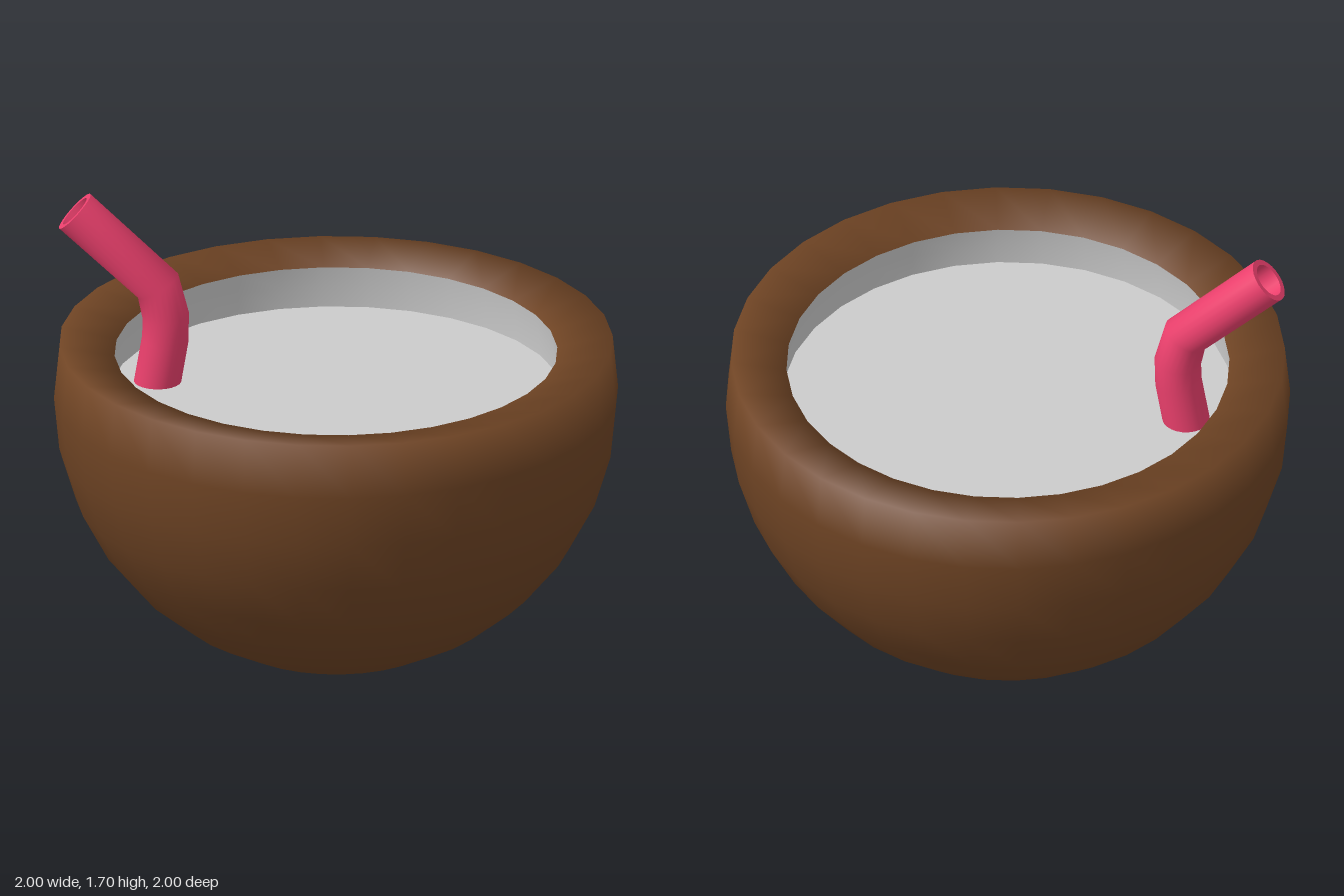
import * as THREE from 'three';

const SEGMENTS = 32;
const RIM_Y = 1.195, INNER_RIM_Y = 1.156, LIQUID_Y = 1.0;

// Curve that passes exactly through a few bend points, with averaged directions at the bends
class BentPath extends THREE.Curve {
  constructor(points) {
    super();
    this.points = points;
  }
  index(u) {
    return Math.round(u * (this.points.length - 1));
  }
  getPoint(u, target = new THREE.Vector3()) {
    return target.copy(this.points[this.index(u)]);
  }
  getPointAt(u, target) {
    return this.getPoint(u, target);
  }
  getTangentAt(u, target = new THREE.Vector3()) {
    const i = this.index(u), p = this.points;
    target.set(0, 0, 0);
    if (i > 0) target.add(p[i].clone().sub(p[i - 1]).normalize());
    if (i < p.length - 1) target.add(p[i + 1].clone().sub(p[i]).normalize());
    return target.normalize();
  }
}

function part(name, geometry, material) {
  const mesh = new THREE.Mesh(geometry, material);
  mesh.name = name;
  return mesh;
}

export function createModel() {
  const model = new THREE.Group();
  model.name = 'drinkInShell';

  const brown = new THREE.MeshStandardMaterial({ color: 0x6f4424 });
  const grey = new THREE.MeshStandardMaterial({ color: 0xcccccc });
  const pink = new THREE.MeshStandardMaterial({ color: 0xec406d, side: THREE.DoubleSide });

  // Shell: unit sphere cut just above its middle, with a broad rim sloping inwards
  const profile = [];
  for (let i = 0; i <= 9; i++) {
    const a = (i / 16) * Math.PI;
    profile.push(new THREE.Vector2(Math.sin(a), 1 - Math.cos(a)));
  }
  profile.push(new THREE.Vector2(0.785, INNER_RIM_Y), new THREE.Vector2(0.815, LIQUID_Y));
  model.add(part('shell', new THREE.LatheGeometry(profile, SEGMENTS), brown));

  // Inner lining, facing the axis
  const lining = [[0.784, INNER_RIM_Y], [0.796, 1.08], [0.8, LIQUID_Y]]
    .map(([r, y]) => new THREE.Vector2(r, y));
  model.add(part('lining', new THREE.LatheGeometry(lining, SEGMENTS), grey));

  // Liquid surface
  const liquid = part('liquid', new THREE.CircleGeometry(0.8, SEGMENTS), grey);
  liquid.rotation.x = -Math.PI / 2;
  liquid.position.y = LIQUID_Y;
  model.add(liquid);

  // Hollow bent straw
  const straw = new THREE.Group();
  straw.name = 'straw';
  const path = new BentPath([
    new THREE.Vector3(-0.645, 0.97, -0.018),
    new THREE.Vector3(-0.613, 1.16, -0.016),
    new THREE.Vector3(-0.61, 1.25, -0.014),
    new THREE.Vector3(-0.638, 1.366, -0.012),
    new THREE.Vector3(-0.934, 1.637, -0.003),
  ]);
  const steps = path.points.length - 1;
  const outer = 0.083, inner = 0.062;
  straw.add(part('strawOutside', new THREE.TubeGeometry(path, steps, outer, 24), pink));
  straw.add(part('strawInside', new THREE.TubeGeometry(path, steps, inner, 24), pink));
  const lip = part('strawLip', new THREE.RingGeometry(inner, outer, 24), pink);
  const tip = path.getPointAt(1);
  lip.position.copy(tip);
  lip.lookAt(tip.clone().add(path.getTangentAt(1)));
  straw.add(lip);
  model.add(straw);

  return model;
}
